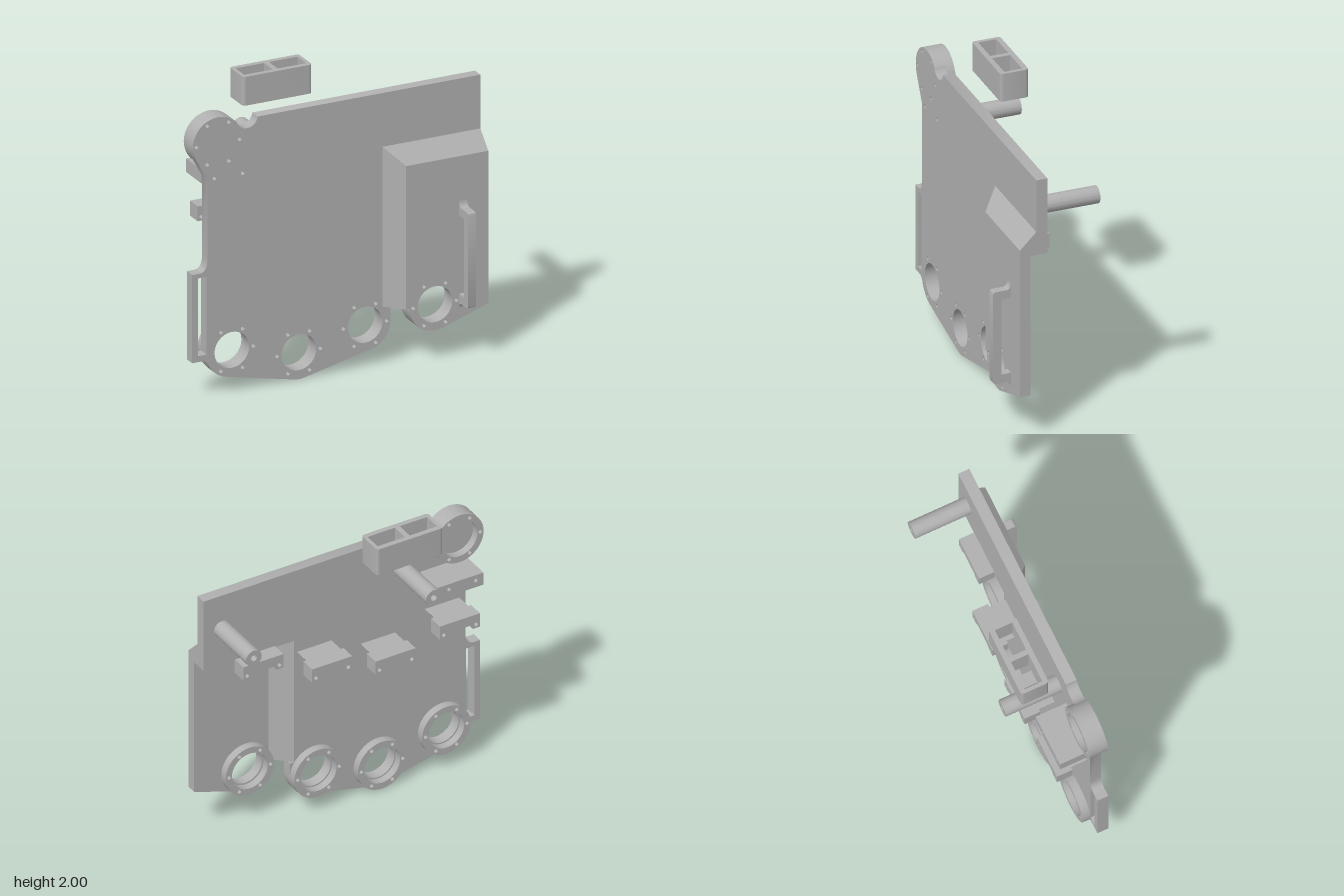
import * as THREE from 'three';
import { toCreasedNormals } from 'three/addons/utils/BufferGeometryUtils.js';
import { ConvexGeometry } from 'three/addons/geometries/ConvexGeometry.js';

const BACK = 0.04, FRONT = 0.115, STEP = 0.113; // plate faces and forward offset of the raised panel
const PORT_R = 0.12, RING_R = 0.175, BOLT_R = 0.15;
const PORTS = [[-0.725, 0.28], [-0.26, 0.18], [0.2, 0.28], [0.63, 0.38]];
const BOSS = [-0.82, 1.68];

export function createModel() {
  const group = new THREE.Group();
  const metal = new THREE.MeshStandardMaterial({ color: 0xb0b0b0 });
  metal.name = 'plain grey';

  const add = (name, geo) => {
    const mesh = new THREE.Mesh(geo, metal);
    mesh.name = name;
    group.add(mesh);
    return mesh;
  };
  const extrude = (shape, z0, z1) => toCreasedNormals(
    new THREE.ExtrudeGeometry(shape, { depth: z1 - z0, bevelEnabled: false, curveSegments: 24 }).translate(0, 0, z0), 0.6);
  const circleHole = (shape, x, y, r) => shape.holes.push(new THREE.Path().absarc(x, y, r, 0, Math.PI * 2, true));
  const rectHole = (shape, x0, y0, x1, y1) => shape.holes.push(new THREE.Path(
    [[x0, y0], [x0, y1], [x1, y1], [x1, y0]].map(p => new THREE.Vector2(...p))));
  const boltHoles = (shape, [x, y], skip = -1) => {
    for (let i = 0; i < 6; i++) {
      const a = i * Math.PI / 3;
      if (i !== skip) circleHole(shape, x + BOLT_R * Math.cos(a), y + BOLT_R * Math.sin(a), 0.013);
    }
  };
  const disc = (x, y, r) => {
    const s = new THREE.Shape();
    s.absarc(x, y, r, 0, Math.PI * 2, false);
    return s;
  };

  // Main plate with side grip, rounded lower edge and round corner lobe
  const deg = Math.PI / 180;
  const plate = new THREE.Shape();
  plate.moveTo(-1, 0.24);
  plate.lineTo(-0.94, 0.24);
  plate.quadraticCurveTo(-0.9, 0.24, -0.883, 0.2);
  plate.absarc(...PORTS[0], 0.178, 207 * deg, 257.9 * deg, false);
  plate.absarc(...PORTS[1], 0.18, 257.9 * deg, 282.1 * deg, false);
  plate.absarc(...PORTS[2], 0.175, -77.9 * deg, 0, false);
  plate.lineTo(0.375, 0.38);
  plate.lineTo(0.345, 0.38);
  plate.lineTo(0.345, 1.29);
  plate.lineTo(1, 1.29);
  plate.lineTo(1, 1.81);
  plate.lineTo(-0.545, 1.81);
  plate.absarc(-0.62, 1.82, 0.075, -8 * deg, -157 * deg, true);
  plate.absarc(...BOSS, RING_R, 40 * deg, 210 * deg, false);
  plate.lineTo(-0.895, 1.45);
  plate.lineTo(-0.895, 0.92);
  plate.quadraticCurveTo(-0.895, 0.83, -0.95, 0.83);
  plate.lineTo(-1, 0.83);
  plate.closePath();
  PORTS.slice(0, 3).forEach((p, i) => {
    circleHole(plate, ...p, PORT_R);
    boltHoles(plate, p, i === 0 ? 3 : -1);
  });
  boltHoles(plate, BOSS);
  for (const x of [-0.845, -0.65]) circleHole(plate, x, 1.45, 0.013);
  rectHole(plate, -0.96, 0.28, -0.9, 0.8);
  add('mainPlate', extrude(plate, BACK, FRONT));

  // Raised panel: front slab plus sloping left and top walls
  const slab = new THREE.Shape();
  slab.moveTo(0.43, 1.29);
  slab.lineTo(0.43, 0.38);
  slab.absarc(...PORTS[3], RING_R, Math.PI, 288 * deg, false);
  slab.lineTo(1, 0.32);
  slab.lineTo(1, 1.29);
  slab.closePath();
  circleHole(slab, ...PORTS[3], PORT_R);
  boltHoles(slab, PORTS[3]);
  add('raisedPanel', extrude(slab, 0.155, 0.225));

  const hull = pts => new ConvexGeometry(pts.map(p => new THREE.Vector3(...p)));
  const wall = [[0.32, FRONT], [0.43, 0.225], [0.46, 0.155], [0.345, BACK]];
  add('raisedPanelLeftWall', hull([0.38, 1.29].flatMap(y => wall.map(([x, z]) => [x, y, z]))));
  add('raisedPanelTopWall', hull([
    [0.32, 1.45, FRONT], [0.43, 1.34, 0.225], [0.43, 1.29, 0.225], [0.32, 1.29, FRONT],
    [1, 1.45, FRONT], [1, 1.34, 0.225], [1, 1.29, 0.225], [1, 1.29, FRONT]]));

  // Flange rings on the back of the ports and the corner lobe
  const ring = (name, p, dz) => {
    const s = disc(...p, RING_R);
    circleHole(s, ...p, 0.13);
    boltHoles(s, p);
    add(name, extrude(s, -0.013 + dz, BACK + dz));
  };
  PORTS.forEach((p, i) => ring('portRing' + (i + 1), p, i === 3 ? STEP : 0));
  ring('cornerRing', BOSS, 0);

  // Clamps above each port: rounded saddle and a notched block behind it
  PORTS.forEach(([x, y], i) => {
    const dz = i === 3 ? STEP : 0;
    const saddle = new THREE.Shape();
    const r = 0.147, a = Math.asin(0.125 / r);
    saddle.absarc(0, 0.03 + r, r, -Math.PI / 2 - a, -Math.PI / 2 + a, false);
    saddle.lineTo(0.125, 0.1);
    saddle.lineTo(-0.125, 0.1);
    saddle.closePath();
    add('clampSaddle' + (i + 1), extrude(saddle, -0.07, BACK)).position.set(x, y + 0.82, dz);

    const block = new THREE.Shape([[-0.145, 0.1], [-0.145, 0], [-0.095, 0], [-0.07, 0.03],
      [0.07, 0.03], [0.095, 0], [0.145, 0], [0.145, 0.1]].map(p => new THREE.Vector2(...p)));
    for (const s of [-1, 1]) circleHole(block, s * 0.117, 0.027, 0.014);
    add('clampBlock' + (i + 1), extrude(block, -0.177, -0.07)).position.set(x, y + 0.82, dz);
  });

  // Drilled block below the corner lobe
  const drilled = new THREE.Shape([[-0.9, 1.4], [-0.55, 1.4], [-0.55, 1.49], [-0.9, 1.49]]
    .map(p => new THREE.Vector2(...p)));
  for (const x of [-0.845, -0.65]) circleHole(drilled, x, 1.45, 0.013);
  add('drilledBlock', extrude(drilled, -0.17, BACK));

  // Two long posts on the back
  for (const [name, x] of [['leftPost', 0.868], ['rightPost', -0.435]]) {
    const s = disc(x, 1.563, 0.057);
    circleHole(s, x, 1.563, 0.022);
    add(name, extrude(s, -0.345, BACK));
  }

  // Open two-cell box above the plate
  const w = 0.24, d = 0.095, c = 0.02;
  const box = new THREE.Shape();
  box.absarc(w - c, d - c, c, 0, Math.PI / 2, false);
  box.absarc(c - w, d - c, c, Math.PI / 2, Math.PI, false);
  box.absarc(c - w, c - d, c, Math.PI, Math.PI * 1.5, false);
  box.absarc(w - c, c - d, c, Math.PI * 1.5, Math.PI * 2, false);
  box.closePath();
  rectHole(box, -0.215, -0.06, -0.017, 0.06);
  rectHole(box, 0.017, -0.06, 0.215, 0.06);
  add('cellBox', extrude(box, 0, 0.193).rotateX(-Math.PI / 2)).position.set(-0.31, 1.81, -0.173);

  // Front handle with flared feet, drawn in z-y and extruded across x
  const handle = new THREE.Shape();
  handle.moveTo(0.225, 0.33);
  handle.quadraticCurveTo(0.23, 0.36, 0.262, 0.36);
  handle.lineTo(0.325, 0.36);
  handle.quadraticCurveTo(0.345, 0.36, 0.345, 0.38);
  handle.lineTo(0.345, 0.98);
  handle.quadraticCurveTo(0.345, 1, 0.325, 1);
  handle.lineTo(0.262, 1);
  handle.quadraticCurveTo(0.23, 1, 0.225, 1.04);
  handle.lineTo(0.225, 0.945);
  handle.lineTo(0.29, 0.945);
  handle.lineTo(0.29, 0.42);
  handle.lineTo(0.225, 0.42);
  handle.closePath();
  add('frontHandle', extrude(handle, 0, 0.055).rotateY(-Math.PI / 2)).position.x = 0.853;

  return group;
}
